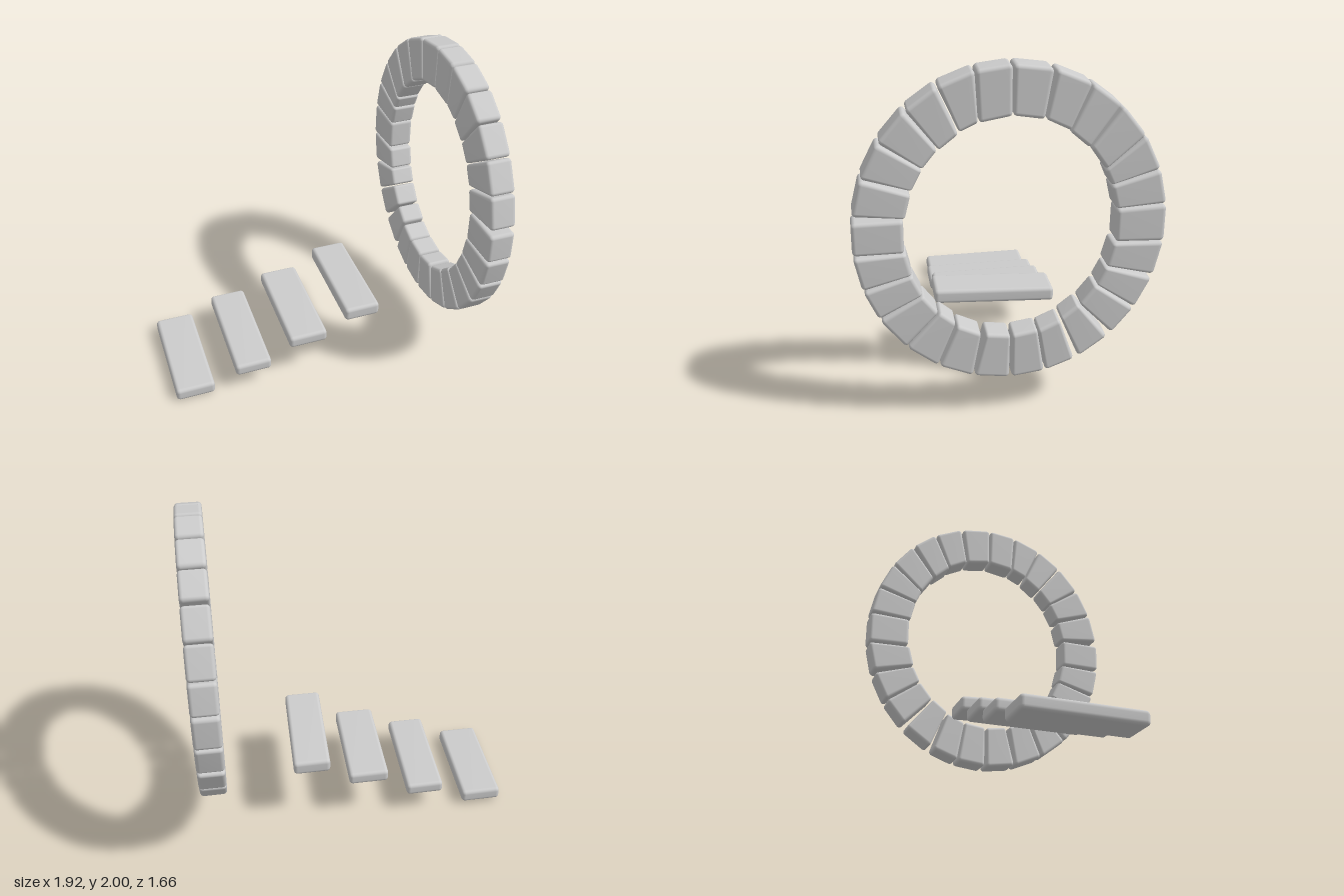
import * as THREE from 'three';
import { RoundedBoxGeometry } from 'three/addons/geometries/RoundedBoxGeometry.js';
import { mergeVertices } from 'three/addons/utils/BufferGeometryUtils.js';

const { lerp, degToRad } = THREE.MathUtils;
const material = new THREE.MeshStandardMaterial({ color: 0xcccccc });

// Ring of stones: ellipse radii (z, y), centre and thickness
const OUTER = [0.832, 0.885], INNER = [0.562, 0.62];
const RING_X = 0.88, RING_Y = 1.115, DEPTH = 0.158;

// Per stone, clockwise from the top, degrees: outer start, outer end, inner start, inner end
const STONES = [
  [0.2, 13.5, 0.2, 15.1], [14.4, 27.4, 15.8, 29.1], [28.0, 40.2, 29.4, 42.4], [41.4, 54.8, 43.3, 57.5],
  [55.1, 69.1, 57.7, 66.9], [69.5, 82.8, 67.7, 81.0], [83.3, 97.7, 81.5, 100.2], [98.0, 111.6, 101.5, 115.2],
  [113.0, 126.3, 116.0, 126.8], [126.8, 139.2, 127.6, 140.6], [141.2, 154.2, 141.6, 153.0], [156.0, 167.2, 154.0, 165.9],
  [167.6, 179.6, 166.2, 179.2], [180.4, 193.2, 180.2, 192.6], [193.6, 206.6, 195.0, 208.2], [207.2, 220.8, 209.6, 220.0],
  [221.2, 235.8, 220.8, 233.6], [236.5, 248.6, 234.0, 246.6], [249.4, 262.5, 247.0, 260.0], [263.5, 276.0, 260.6, 279.1],
  [278.6, 292.4, 280.0, 293.6], [292.8, 306.6, 295.6, 307.9], [307.0, 320.7, 308.3, 320.3], [321.3, 333.9, 320.9, 332.9],
  [334.3, 347.5, 333.8, 343.6], [347.8, 359.8, 344.0, 359.8],
];

// Stepping slabs: [front x, back x, width, front y, back y, height, front z, back z]
const SLABS = [
  [-0.840, -0.822, 0.248, 0.042, 0.059, 0.082, 0.300, -0.390],
  [-0.465, -0.445, 0.232, 0.153, 0.169, 0.078, 0.325, -0.390],
  [-0.100, -0.085, 0.248, 0.279, 0.291, 0.080, 0.325, -0.370],
  [0.247, 0.272, 0.228, 0.435, 0.416, 0.088, 0.358, -0.363],
];

// Rounded block whose points are moved by a rule; u, v, w run 0..1 across the block
function softBlock(name, w, h, d, radius, rule) {
  let geo = new RoundedBoxGeometry(w, h, d, 3, radius);
  geo.deleteAttribute('normal');
  geo.deleteAttribute('uv');
  geo = mergeVertices(geo, 1e-5);
  const pos = geo.attributes.position;
  for (let i = 0; i < pos.count; i++) {
    const p = rule(pos.getX(i) / w + 0.5, pos.getY(i) / h + 0.5, pos.getZ(i) / d + 0.5);
    pos.setXYZ(i, p[0], p[1], p[2]);
  }
  geo.computeVertexNormals();
  const mesh = new THREE.Mesh(geo, material);
  mesh.name = name;
  return mesh;
}

// Distance from the centre of an ellipse to its rim at angle a from the top
const rim = ([rz, ry], a) => 1 / Math.hypot(Math.sin(a) / rz, Math.cos(a) / ry);

export function createModel() {
  const model = new THREE.Group();
  model.name = 'stoneRingWithSteps';

  // Wedge stones forming the ring
  const ring = new THREE.Group();
  ring.name = 'stoneRing';
  STONES.forEach(([o0, o1, i0, i1], n) => {
    const wobble = 0.004 * Math.sin(n * 2.4);
    ring.add(softBlock('ringStone', 0.19, 0.27, DEPTH, 0.022, (u, v, w) => {
      const a = degToRad(lerp(lerp(i0, i1, u), lerp(o0, o1, u), v));
      const r = lerp(rim(INNER, a) + wobble, rim(OUTER, a), v);
      return [RING_X + (w - 0.5) * DEPTH, RING_Y + r * Math.cos(a), -r * Math.sin(a)];
    }));
  });
  model.add(ring);

  // Slightly skewed slabs rising toward the ring
  const steps = new THREE.Group();
  steps.name = 'steps';
  for (const [fx, bx, width, fy, by, height, fz, bz] of SLABS) {
    steps.add(softBlock('stepSlab', width, height, fz - bz, 0.024, (u, v, w) => [
      lerp(bx, fx, w) + (u - 0.5) * width,
      lerp(by, fy, w) + (v - 0.5) * height,
      lerp(bz, fz, w),
    ]));
  }
  model.add(steps);
  return model;
}
